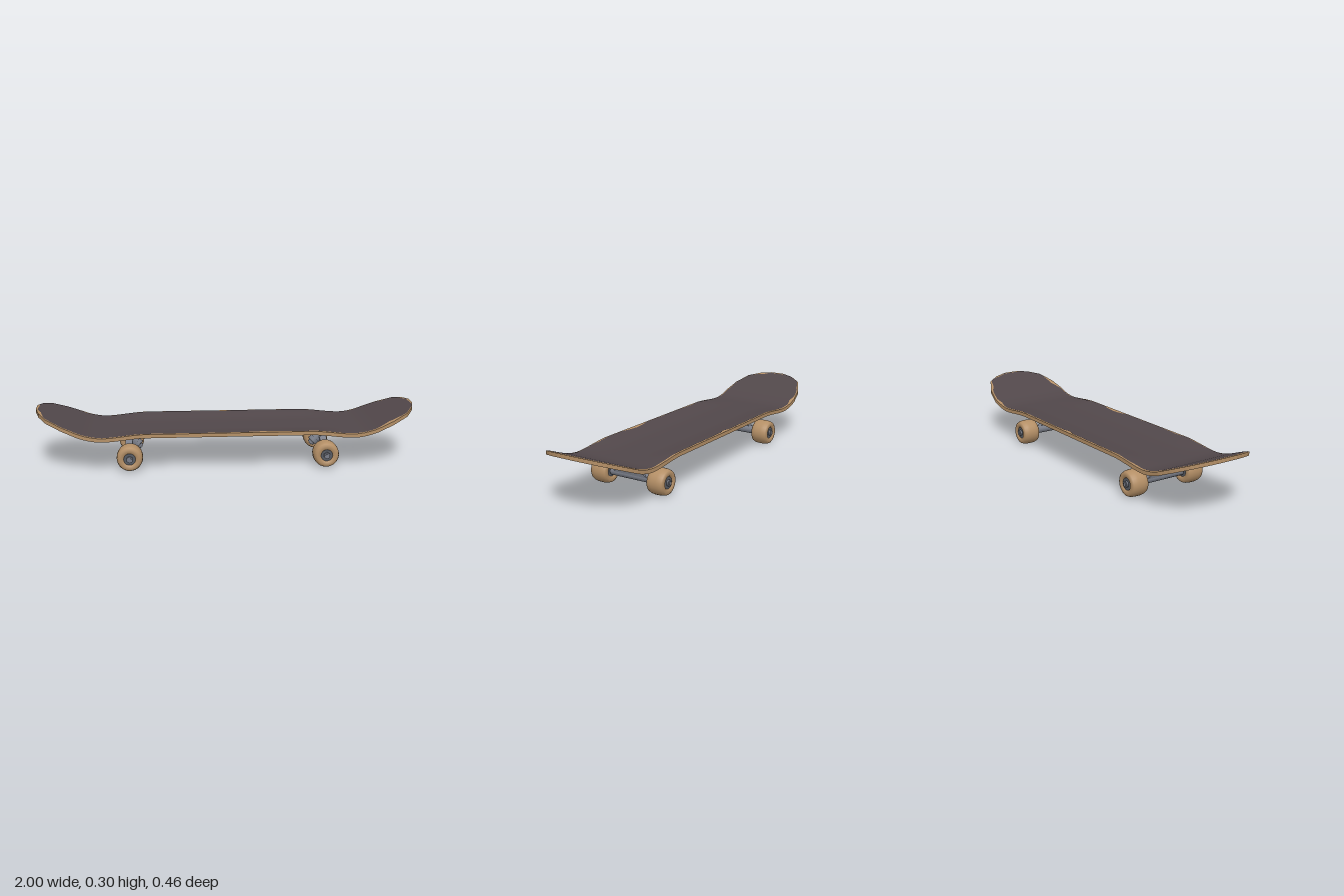
import * as THREE from 'three';

const mat = (name, color, side = THREE.FrontSide) => {
  const m = new THREE.MeshStandardMaterial({ color, side });
  m.name = name;
  return m;
};
const wood = mat('maple wood', 0xb48f66);
const grip = mat('grip tape', 0x51474a, THREE.DoubleSide);
const metal = mat('truck metal', 0x787c87);
const bearingMetal = mat('bearing metal', 0x565a62);
const urethane = mat('tan urethane', 0xb48f66);

const smooth = THREE.MathUtils.smoothstep;

// Half width of the deck along its length
const outline = [[0, 0.231], [0.78, 0.231], [0.86, 0.215], [0.94, 0.174], [0.98, 0.11], [1, 0.04]];
function halfWidth(x) {
  const t = Math.min(Math.abs(x), 1);
  let k = 1;
  while (k < outline.length - 1 && t > outline[k][0]) k++;
  const [x0, w0] = outline[k - 1], [x1, w1] = outline[k];
  return w0 + (w1 - w0) * (t - x0) / (x1 - x0);
}

// Height of the deck top: kicked ends and a concave middle
function deckHeight(x, z) {
  const t = Math.abs(x), bend = 0.14, s = 0.4;
  const u = Math.max(0, t - 0.64);
  const kick = u < bend ? s * u * u / (2 * bend) : s * (u - bend / 2);
  const concave = 0.019 * smooth(Math.abs(z), 0.08, 0.25) / smooth(0.231, 0.08, 0.25);
  return 0.186 + kick + concave * (1 - smooth(t, 0.42, 0.66));
}

// Grid surface from a point function
function surface(name, rows, cols, point, material, flip = false) {
  const pos = [], idx = [];
  for (let i = 0; i <= rows; i++) for (let j = 0; j <= cols; j++) pos.push(...point(i, j));
  for (let i = 0; i < rows; i++) for (let j = 0; j < cols; j++) {
    const a = i * (cols + 1) + j, b = a + 1, d = a + cols + 1, c = d + 1;
    if (flip) idx.push(a, c, b, a, d, c);
    else idx.push(a, b, c, a, c, d);
  }
  const g = new THREE.BufferGeometry();
  g.setAttribute('position', new THREE.Float32BufferAttribute(pos, 3));
  g.setIndex(idx);
  g.computeVertexNormals();
  return part(name, g, material);
}

function part(name, geometry, material, x = 0, y = 0, z = 0) {
  const m = new THREE.Mesh(geometry, material);
  m.name = name;
  m.position.set(x, y, z);
  return m;
}

function createDeck() {
  const deck = new THREE.Group();
  deck.name = 'deck';
  const N = 100, C = 16, thick = 0.02;
  const at = (i, j, drop) => {
    const x = -1 + 2 * i / N, z = halfWidth(x) * (-1 + 2 * j / C);
    return [x, deckHeight(x, z) - drop, z];
  };
  deck.add(surface('deckTop', N, C, (i, j) => at(i, j, 0), wood));
  deck.add(surface('deckUnderside', N, C, (i, j) => at(i, j, thick), wood, true));
  // Rim runs along the front edge, around the end and back
  deck.add(surface('deckRim', 2 * N + 2, 1, (i, j) => {
    if (i === 2 * N + 2) return at(0, C, j * thick);
    return i <= N ? at(i, C, j * thick) : at(2 * N + 1 - i, 0, j * thick);
  }, wood));

  // Worn spots in the grip edge: centre x, half length, depth, side
  const chips = [
    [-0.76, 0.05, 0.012, -1], [0, 0.04, 0.014, -1], [0.73, 0.04, 0.01, -1], [0.88, 0.05, 0.012, -1],
    [0.19, 0.13, 0.017, 1], [0.84, 0.07, 0.022, 1], [-0.35, 0.07, 0.006, 1], [0.5, 0.05, 0.006, 1],
    [-0.975, 0.025, 0.05, 1], [0.98, 0.02, 0.03, -1], [-0.6, 0.04, 0.006, -1],
  ];
  const inset = (x, side) => chips.reduce((sum, [cx, len, depth, s]) =>
    s === side ? sum + depth * Math.max(0, 1 - Math.abs(x - cx) / len) : sum,
  0.008 + 0.002 * Math.sin(x * 43 + side) * Math.sin(x * 17));
  deck.add(surface('gripTape', 200, C, (i, j) => {
    const x = 0.99 * (-1 + i / 100), w = halfWidth(x);
    const z = THREE.MathUtils.lerp(-w + inset(x, -1), w - inset(x, 1), j / C);
    return [x, deckHeight(x, z) + 0.002, z];
  }, grip));
  return deck;
}

// Prism from a 2D outline, centred on its depth
function prism(points, depth) {
  const g = new THREE.ExtrudeGeometry(new THREE.Shape(points.map(p => new THREE.Vector2(...p))),
    { depth, bevelEnabled: false });
  return g.translate(0, 0, -depth / 2);
}

// Wheel with its bearing and axle nut, outer face toward +z
function createWheel() {
  const wheel = new THREE.Group();
  wheel.name = 'wheel';
  const profile = [[0.03, -0.04], [0.036, -0.048], [0.052, -0.049], [0.061, -0.043], [0.066, -0.03], [0.068, -0.014],
    [0.068, 0.014], [0.066, 0.03], [0.061, 0.043], [0.052, 0.049], [0.036, 0.048], [0.03, 0.04]];
  const tire = new THREE.LatheGeometry(profile.map(p => new THREE.Vector2(...p)), 28).rotateX(Math.PI / 2);
  wheel.add(part('tire', tire, urethane));
  wheel.add(part('bearing', new THREE.CylinderGeometry(0.031, 0.031, 0.084, 20).rotateX(Math.PI / 2), bearingMetal));
  wheel.add(part('axleNut', new THREE.CylinderGeometry(0.018, 0.018, 0.012, 6).rotateX(Math.PI / 2), metal, 0, 0, 0.046));
  wheel.add(part('axleEnd', new THREE.CylinderGeometry(0.01, 0.01, 0.02, 12).rotateX(Math.PI / 2), metal, 0, 0, 0.046));
  return wheel;
}

// Truck at the origin, kingpin leaning toward -x
function createTruck() {
  const truck = new THREE.Group();
  truck.name = 'truck';
  truck.add(part('basePlate', new THREE.BoxGeometry(0.18, 0.012, 0.11), metal, 0.005, 0.162, 0));
  truck.add(part('baseBlock', prism([[-0.075, 0.158], [-0.045, 0.13], [0.05, 0.122], [0.07, 0.13], [0.09, 0.158]], 0.056), metal));
  for (const x of [-0.065, 0.075]) for (const z of [-0.042, 0.042])
    truck.add(part('mountingNut', new THREE.CylinderGeometry(0.009, 0.009, 0.008, 6), metal, x, 0.153, z));

  // Hanger: round axle housing with a triangular web
  const axleHousing = new THREE.CylinderGeometry(0.022, 0.022, 0.25, 16).rotateX(Math.PI / 2);
  truck.add(part('axleHousing', axleHousing, metal, 0, 0.069, 0));
  const web = prism([[-0.118, 0.068], [0.118, 0.068], [0.026, 0.122], [0.026, 0.14], [-0.026, 0.14], [-0.026, 0.122]], 0.04);
  const p = web.attributes.position;
  for (let i = 0; i < p.count; i++) if (Math.abs(p.getX(i)) > 0.1) p.setZ(i, p.getZ(i) * 0.6);
  web.rotateY(Math.PI / 2);
  web.computeVertexNormals();
  truck.add(part('hangerWeb', web, metal, 0.008, 0, 0));

  // Kingpin with bushings, washer and nut
  const kingpin = new THREE.Group();
  kingpin.name = 'kingpin';
  kingpin.position.set(0.005, 0.136, 0);
  kingpin.rotation.z = -0.75;
  const stack = [['upperBushing', 0.03, 0.026, -0.018, 16, metal], ['hangerRing', 0.035, 0.016, -0.038, 16, metal],
    ['lowerBushing', 0.028, 0.022, -0.056, 16, metal], ['washer', 0.029, 0.005, -0.069, 16, bearingMetal],
    ['kingpinNut', 0.018, 0.014, -0.078, 6, metal], ['kingpinBolt', 0.009, 0.1, -0.04, 10, metal]];
  for (const [name, r, h, y, sides, m] of stack)
    kingpin.add(part(name, new THREE.CylinderGeometry(r, r, h, sides), m, 0, y, 0));
  truck.add(kingpin);

  for (const s of [1, -1]) {
    const wheel = createWheel();
    wheel.position.set(0, 0.068, s * 0.172);
    if (s < 0) wheel.rotation.y = Math.PI;
    truck.add(wheel);
  }
  return truck;
}

export function createModel() {
  const model = new THREE.Group();
  model.name = 'skateboard';
  model.add(createDeck());
  for (const s of [1, -1]) {
    const truck = createTruck();
    truck.name = s > 0 ? 'leftTruck' : 'rightTruck';
    truck.position.x = s * 0.513;
    if (s < 0) truck.rotation.y = Math.PI;
    model.add(truck);
  }
  return model;
}
